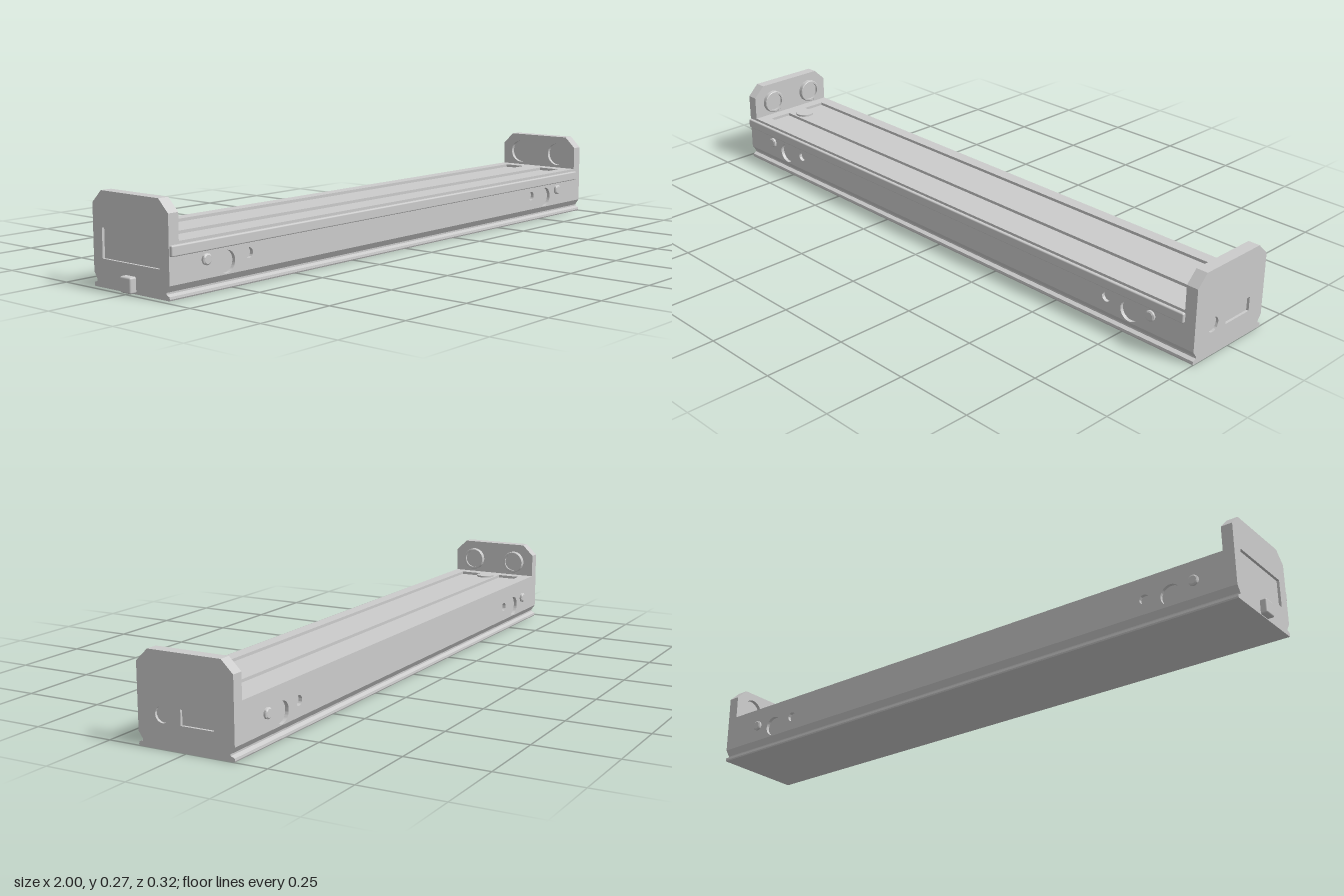
import * as THREE from 'three';
import { toCreasedNormals } from 'three/addons/utils/BufferGeometryUtils.js';
import { RoundedBoxGeometry } from 'three/addons/geometries/RoundedBoxGeometry.js';

const material = new THREE.MeshStandardMaterial({ color: 0xcccccc });

function polygon(points) {
  return new THREE.Shape(points.map(([x, y]) => new THREE.Vector2(x, y)));
}

function rect(x0, y0, x1, y1) {
  return polygon([[x0, y0], [x1, y0], [x1, y1], [x0, y1]]);
}

function circle(x, y, r) {
  return new THREE.Shape().absarc(x, y, r, 0, Math.PI * 2, false);
}

function slab(shape, depth, holes = []) {
  shape.holes.push(...holes);
  const geometry = new THREE.ExtrudeGeometry(shape, { depth, bevelEnabled: false, curveSegments: 24 });
  return toCreasedNormals(geometry, 0.6);
}

// Slab running along x from x0 to x1; its shape is drawn in (-z, y)
function slabX(shape, x0, x1, holes) {
  return slab(shape, x1 - x0, holes).rotateY(Math.PI / 2).translate(x0, 0, 0);
}

// Mirrors a half profile, given from the bottom up, to both sides
function mirrored(half) {
  return polygon([...half, ...half.map(([z, y]) => [-z, y]).reverse()]);
}

export function createModel() {
  const model = new THREE.Group();
  const add = (name, geometry, parent = model) => {
    const mesh = new THREE.Mesh(geometry, material);
    mesh.name = name;
    parent.add(mesh);
    return mesh;
  };

  const foot = [[0.15, 0], [0.152, 0.004], [0.151, 0.011], [0.139, 0.016], [0.139, 0.021], [0.152, 0.04]];
  const bodyStart = -0.945, bodyEnd = 0.963;

  // Body core with the undercut foot rail
  add('bodyCore', slabX(mirrored([...foot, [0.141, 0.04], [0.141, 0.146]]), bodyStart, bodyEnd));

  // Side skins with round sockets, plus the small round buttons
  for (const side of [1, -1]) {
    const group = new THREE.Group();
    group.name = side > 0 ? 'frontSide' : 'backSide';
    model.add(group);
    const sockets = [-1, 1].flatMap((s) => [circle(s * 0.775, 0.075, 0.032), circle(s * 0.69, 0.087, 0.015)]);
    const skin = slab(rect(bodyStart, 0.04, bodyEnd, 0.155), 0.011, sockets);
    add('sideSkin', skin.translate(0, 0, side > 0 ? 0.141 : -0.152), group);
    for (const s of [-1, 1]) {
      const profile = [[0, 0], [0.016, 0], [0.016, 0.008], [0.012, 0.011], [0, 0.011]];
      const button = new THREE.LatheGeometry(profile.map(([r, h]) => new THREE.Vector2(r, h)), 32);
      button.rotateX(side * Math.PI / 2);
      add('sideButton', toCreasedNormals(button, 0.6).translate(s * 0.85, 0.093, side * 0.15), group);
    }
  }

  // Top skin with two long recessed channels
  const channels = [[-0.112, -0.036], [0.036, 0.112]].map(([a, b]) => rect(-0.91, a, 0.92, b));
  add('topSkin', slab(rect(bodyStart, -0.141, bodyEnd, 0.141), 0.009, channels)
    .rotateX(-Math.PI / 2).translate(0, 0.146, 0));

  // Round pad on top
  add('topButton', new THREE.CylinderGeometry(0.03, 0.03, 0.008, 40).translate(-0.865, 0.157, 0));

  // Raised strip along the front
  add('frontStrip', new RoundedBoxGeometry(1.943, 0.03, 0.016, 3, 0.004).translate(-0.0065, 0.132, 0.154));

  // End plates in layers, so that holes become shallow recesses
  const plate = () => mirrored([...foot, [0.152, 0.231], [0.115, 0.267]]);
  const rightPlate = new THREE.Group();
  rightPlate.name = 'plusXEndPlate';
  const leftPlate = new THREE.Group();
  leftPlate.name = 'minusXEndPlate';
  model.add(rightPlate, leftPlate);
  const magnetSpots = [-0.079, 0.079];

  add('innerLayer', slabX(plate(), bodyEnd, 0.976, magnetSpots.map((z) => circle(z, 0.203, 0.039))), rightPlate);
  add('middleLayer', slabX(plate(), 0.976, 0.992), rightPlate);
  add('outerLayer', slabX(plate(), 0.992, 1,
    [circle(-0.073, 0.095, 0.023), rect(-0.015, 0.073, 0.09, 0.117)]), rightPlate);

  add('innerLayer', slabX(plate(), -0.972, bodyStart), leftPlate);
  add('outerLayer', slabX(plate(), -0.98, -0.972, [rect(-0.115, 0.08, 0.115, 0.166)]), leftPlate);

  // Round bosses with dished faces inside the -x plate
  const boss = [[0, 0], [0.038, 0], [0.038, 0.013], [0.036, 0.015], [0.03, 0.015], [0.03, 0.008], [0, 0.008]];
  for (const z of magnetSpots) {
    const geometry = new THREE.LatheGeometry(boss.map(([r, h]) => new THREE.Vector2(r, h)), 40);
    geometry.rotateZ(-Math.PI / 2);
    add('roundBoss', toCreasedNormals(geometry, 0.6).translate(bodyStart, 0.203, z), leftPlate);
  }

  // Small latch at the foot of the -x plate
  add('latch', new RoundedBoxGeometry(0.03, 0.045, 0.044, 2, 0.005).translate(-0.985, 0.025, -0.002), leftPlate);

  return model;
}
